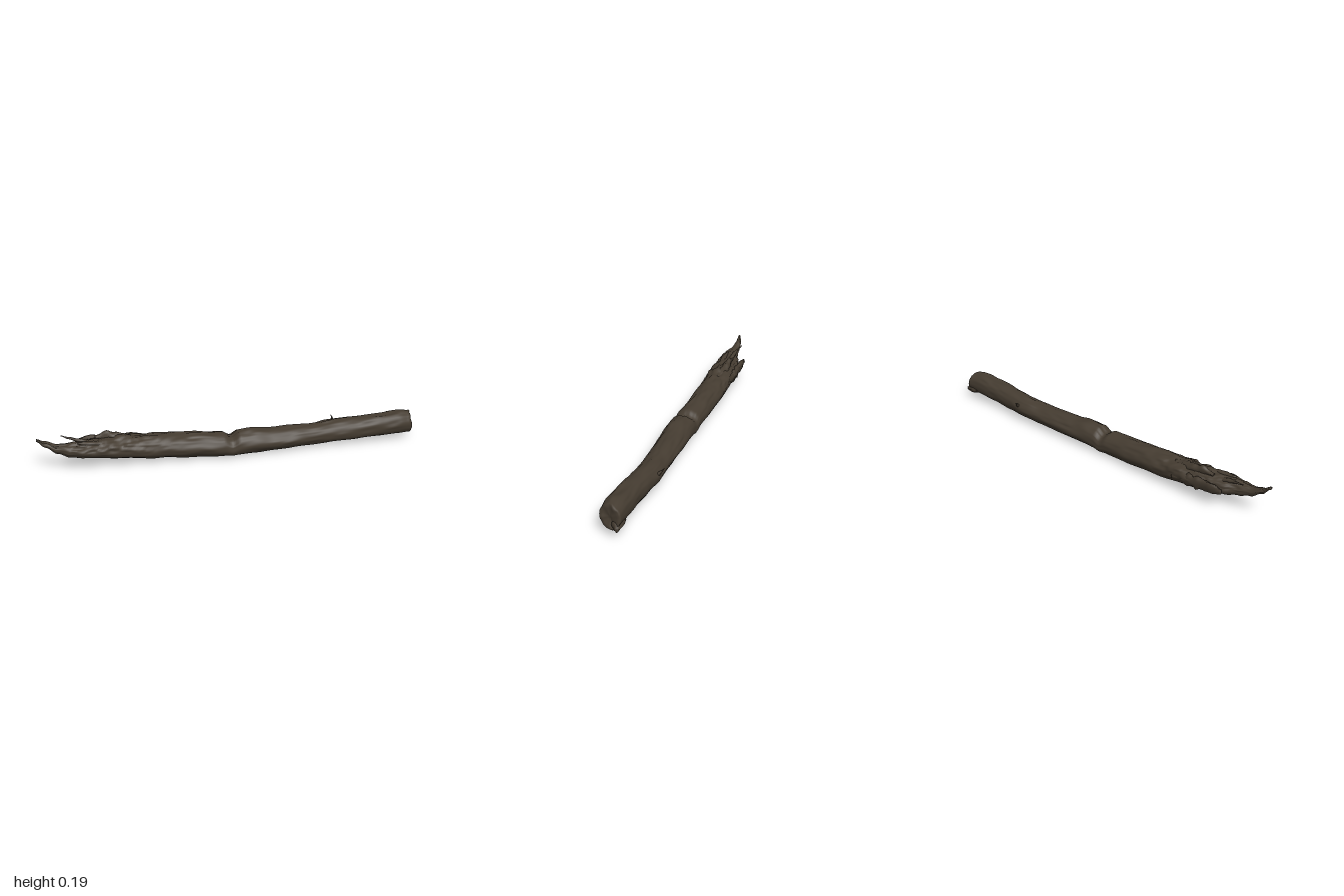
import * as THREE from 'three';

const bark = new THREE.MeshStandardMaterial({ color: 0x453c31 });
bark.name = 'dark bark';

// Smooth value noise on a hashed lattice
const hash = (x, y, z) => {
  const s = Math.sin(x * 127.1 + y * 311.7 + z * 74.7) * 43758.5453;
  return s - Math.floor(s);
};
const ease = (t) => t * t * (3 - 2 * t);
function noise(x, y, z) {
  const [i, j, k] = [x, y, z].map(Math.floor);
  const [u, v, w] = [x - i, y - j, z - k].map(ease);
  let sum = 0;
  for (let c = 0; c < 8; c++) {
    const a = c & 1, b = (c >> 1) & 1, d = c >> 2;
    sum += hash(i + a, j + b, k + d) * (a ? u : 1 - u) * (b ? v : 1 - v) * (d ? w : 1 - w);
  }
  return sum * 2 - 1;
}

// Joins rounded sections [x, yMin, yMax, zMin, zMax] along x; `deform` roughens each point
function loft(name, rows, sides, step, deform) {
  const stations = [];
  rows.forEach((row, r) => {
    if (r === rows.length - 1) return stations.push(row);
    const next = rows[r + 1];
    const n = Math.max(1, Math.round((next[0] - row[0]) / step));
    for (let i = 0; i < n; i++) stations.push(row.map((v, c) => v + (next[c] - v) * (c ? ease(i / n) : i / n)));
  });
  const pos = [], index = [], p = new THREE.Vector3();
  stations.forEach(([x, y0, y1, z0, z1], i) => {
    for (let j = 0; j < sides; j++) {
      const a = (j / sides) * Math.PI * 2;
      p.set(x, (y0 + y1) / 2 + (y1 - y0) / 2 * Math.sin(a), (z0 + z1) / 2 + (z1 - z0) / 2 * Math.cos(a));
      deform(p, a, (y1 - y0) / 2, (z1 - z0) / 2);
      pos.push(p.x, p.y, p.z);
      if (i === stations.length - 1) continue;
      const k = (j + 1) % sides, A = i * sides, B = A + sides;
      index.push(A + j, B + j, B + k, A + j, B + k, A + k);
    }
  });
  // Close both ends
  const last = (stations.length - 1) * sides;
  for (let j = 1; j < sides - 1; j++) index.push(0, j, j + 1, last, last + j + 1, last + j);
  const g = new THREE.BufferGeometry();
  g.setAttribute('position', new THREE.Float32BufferAttribute(pos, 3));
  g.setIndex(index);
  g.computeVertexNormals();
  const mesh = new THREE.Mesh(g, bark);
  mesh.name = name;
  return mesh;
}

// Long grooves all round, with torn wood on the upper side of the left end
function roughTrunk(p, a, ry, rz) {
  const s = Math.sin(a), c = Math.cos(a), x = p.x;
  const torn = ease(THREE.MathUtils.clamp((-x - 0.2) / 0.45, 0, 1)) * ease(THREE.MathUtils.clamp(s + 0.4, 0, 1));
  const top = Math.max(0, s);
  const d = 0.05 * noise(x * 7, c * 2 + 9, s * 2 + 5)
    + (0.03 + 0.05 * top) * noise(x * 14, c * 5 + 20, s * 5 + 20)
    + torn * (0.16 * noise(x * 22, c * 5 + 40, s * 5 + 40) + 0.1 * noise(x * 50, c * 9 + 60, s * 9 + 60));
  p.y += d * ry * s;
  p.z += d * rz * c;
  // Slanted break at the right end
  const end = ease(THREE.MathUtils.clamp((x - 0.85) / 0.12, 0, 1));
  p.x += end * (-0.3 * (p.z - 0.02) - 0.15 * (p.y - 0.1) + 0.008 * noise(p.y * 45, p.z * 45, 3));
}
function roughSplinter(p, a, ry, rz) {
  const d = 0.3 * noise(p.x * 40, Math.cos(a) * 2 + 5, Math.sin(a) * 2 + 5);
  p.y += d * ry * Math.sin(a);
  p.z += d * rz * Math.cos(a);
}

export function createModel() {
  const model = new THREE.Group();
  model.name = 'broken log';

  // Trunk with a long point at the left and a broken face at the right
  model.add(loft('trunk', [
    [-1, 0.177, 0.19, -0.004, 0.01],
    [-0.96, 0.14, 0.17, -0.018, 0.014],
    [-0.9, 0.102, 0.15, -0.022, 0.03],
    [-0.84, 0.08, 0.15, -0.032, 0.05],
    [-0.77, 0.066, 0.152, -0.06, 0.06],
    [-0.68, 0.055, 0.158, -0.08, 0.062],
    [-0.6, 0.045, 0.157, -0.085, 0.064],
    [-0.4, 0.026, 0.147, -0.08, 0.066],
    [-0.2, 0.012, 0.141, -0.07, 0.07],
    [-0.06, 0.006, 0.13, -0.06, 0.08],
    [-0.015, 0.004, 0.108, -0.058, 0.082],
    [0.03, 0.006, 0.135, -0.056, 0.085],
    [0.1, 0.01, 0.139, -0.055, 0.085],
    [0.2, 0.014, 0.126, -0.056, 0.081],
    [0.4, 0.019, 0.129, -0.057, 0.071],
    [0.55, 0.023, 0.136, -0.062, 0.067],
    [0.65, 0.026, 0.143, -0.052, 0.071],
    [0.8, 0.033, 0.155, -0.042, 0.077],
    [0.9, 0.037, 0.165, -0.038, 0.078],
    [0.967, 0.04, 0.16, -0.036, 0.073],
    [0.973, 0.045, 0.154, -0.031, 0.068],
    [0.968, 0.058, 0.14, -0.018, 0.054],
    [0.963, 0.08, 0.118, 0.003, 0.033],
    [0.964, 0.098, 0.1, 0.017, 0.019],
  ], 48, 0.01, roughTrunk));

  // Torn slivers on the left end
  const slivers = {
    thinSplinter: [[-0.88, 0.172, 0.176, -0.047, -0.041], [-0.84, 0.158, 0.169, -0.036, -0.026],
      [-0.79, 0.142, 0.16, -0.03, -0.01], [-0.73, 0.11, 0.145, -0.03, 0]],
    backSplinter: [[-0.79, 0.105, 0.13, -0.09, -0.08], [-0.74, 0.09, 0.145, -0.094, -0.072],
      [-0.64, 0.075, 0.14, -0.092, -0.06], [-0.5, 0.07, 0.115, -0.082, -0.04]],
    topSplinter: [[-0.71, 0.15, 0.162, -0.045, -0.02], [-0.65, 0.135, 0.184, -0.046, -0.016],
      [-0.6, 0.125, 0.17, -0.05, -0.005], [-0.48, 0.11, 0.145, -0.045, 0.01]],
    frontSplinter: [[-0.8, 0.148, 0.16, 0.014, 0.024], [-0.74, 0.13, 0.16, 0.008, 0.035],
      [-0.62, 0.11, 0.145, 0, 0.04]],
  };
  for (const [name, rows] of Object.entries(slivers)) model.add(loft(name, rows, 12, 0.01, roughSplinter));

  // Ragged stub at the lower corner of the broken right end
  model.add(loft('endStub', [[0.92, 0.05, 0.09, -0.036, 0.01], [0.97, 0.042, 0.09, -0.036, 0.012],
    [1, 0.05, 0.075, -0.034, -0.012]], 12, 0.01, roughSplinter));

  // Small twig stub on the back
  const twig = new THREE.Mesh(new THREE.ConeGeometry(0.01, 0.05, 8), bark);
  twig.name = 'twigStub';
  twig.position.set(0.56, 0.117, -0.068);
  twig.rotation.set(-0.75, 0, 0.2);
  model.add(twig);

  return model;
}
